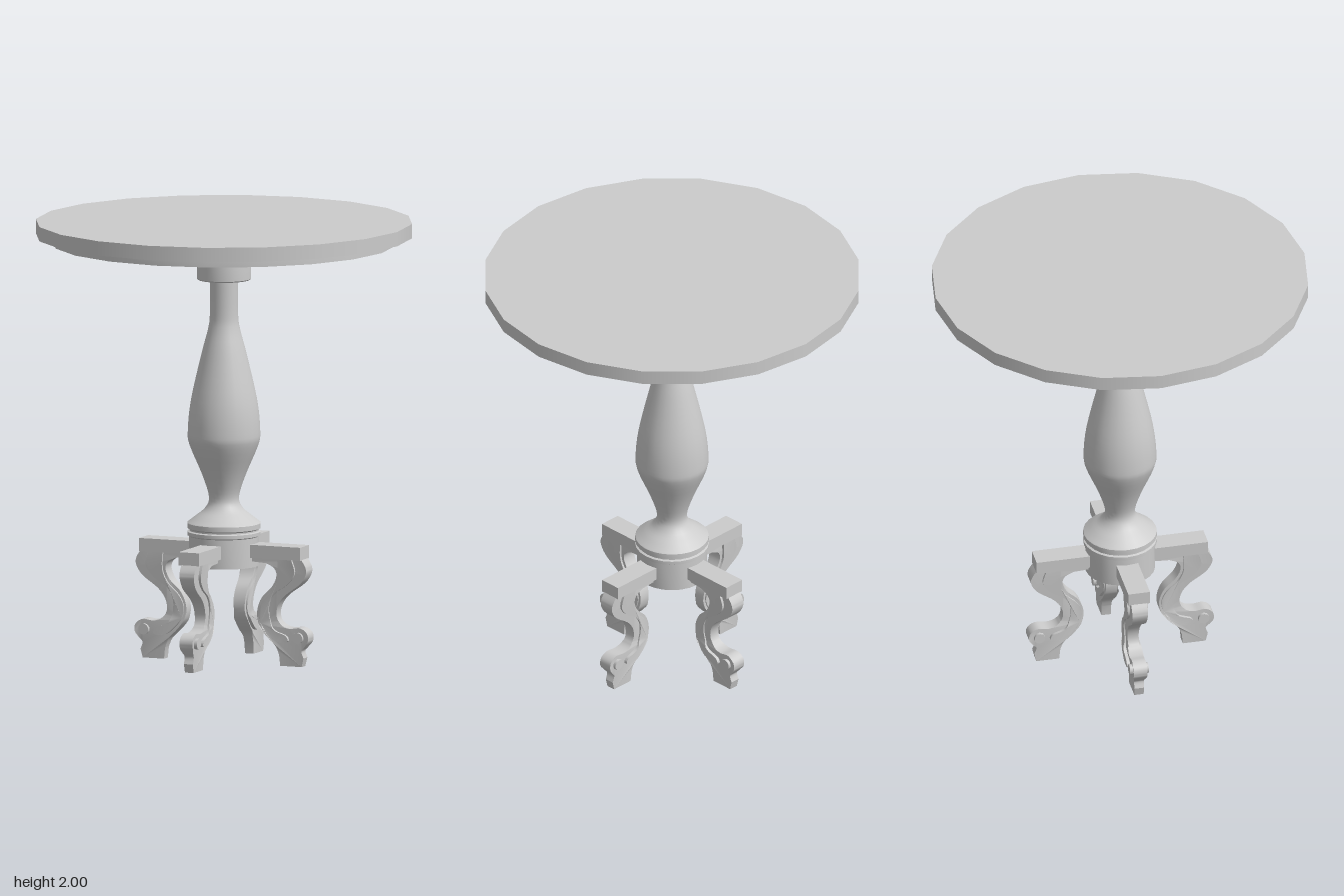
import * as THREE from 'three';
import { toCreasedNormals } from 'three/addons/utils/BufferGeometryUtils.js';

const material = new THREE.MeshStandardMaterial({ color: 0xcccccc });
const vectors = (list) => list.map(([x, y]) => new THREE.Vector2(x, y));

function addMesh(parent, name, geometry, x = 0, y = 0, z = 0) {
  const mesh = new THREE.Mesh(geometry, material);
  mesh.name = name;
  mesh.position.set(x, y, z);
  parent.add(mesh);
  return mesh;
}

const lathe = (list, sides) =>
  toCreasedNormals(new THREE.LatheGeometry(vectors(list), sides), 0.6);

// Half thickness of a leg at each height
const widths = [[0, 0.028], [0.08, 0.03], [0.11, 0.042], [0.17, 0.042], [0.2, 0.032],
  [0.32, 0.038], [0.46, 0.048], [0.6, 0.05]];
function halfWidth(y) {
  for (let i = 1; i < widths.length; i++) {
    const [y0, w0] = widths[i - 1], [y1, w1] = widths[i];
    if (y <= y1) return THREE.MathUtils.mapLinear(Math.max(y, y0), y0, y1, w0, w1);
  }
  return 0.05;
}

// Extrude a side outline and thin it towards the foot
function legSlab(shape, factor) {
  const geometry = new THREE.ExtrudeGeometry(shape, { depth: 2, bevelEnabled: false, curveSegments: 4 });
  geometry.translate(0, 0, -1);
  const p = geometry.attributes.position;
  for (let i = 0; i < p.count; i++) p.setZ(i, p.getZ(i) * halfWidth(p.getY(i)) * factor);
  return toCreasedNormals(geometry, 0.6);
}

function createLeg() {
  const leg = new THREE.Group();
  leg.name = 'leg';

  // S-shaped body with knee, scroll toe and foot
  const body = new THREE.Shape();
  body.moveTo(0.13, 0.545);
  body.lineTo(0.39, 0.545);
  body.lineTo(0.39, 0.495);
  body.splineThru(vectors([[0.415, 0.455], [0.415, 0.42], [0.385, 0.375], [0.31, 0.32],
    [0.275, 0.27], [0.27, 0.22], [0.295, 0.185], [0.335, 0.172], [0.385, 0.177],
    [0.42, 0.155], [0.425, 0.12], [0.405, 0.09], [0.39, 0.07], [0.4, 0.04]]));
  body.lineTo(0.39, 0);
  body.lineTo(0.285, 0);
  body.lineTo(0.28, 0.05);
  body.splineThru(vectors([[0.26, 0.095], [0.215, 0.14], [0.18, 0.19], [0.175, 0.25],
    [0.2, 0.31], [0.25, 0.36], [0.272, 0.41], [0.26, 0.445], [0.22, 0.465]]));
  body.lineTo(0.13, 0.47);
  addMesh(leg, 'legBody', legSlab(body, 0.76));

  // Raised band following the curve on both faces
  const band = new THREE.Shape();
  band.moveTo(0.28, 0.5);
  band.lineTo(0.345, 0.5);
  band.splineThru(vectors([[0.365, 0.43], [0.33, 0.375], [0.265, 0.33], [0.237, 0.28],
    [0.237, 0.22], [0.26, 0.165], [0.32, 0.14], [0.325, 0.112], [0.27, 0.115],
    [0.22, 0.155], [0.19, 0.2], [0.185, 0.25], [0.21, 0.3], [0.26, 0.35],
    [0.285, 0.41], [0.28, 0.5]]));
  addMesh(leg, 'legBand', legSlab(band, 1));

  // Block joining the leg to the hub
  addMesh(leg, 'legBlock', new THREE.BoxGeometry(0.27, 0.06, 0.1), 0.26, 0.516, 0);

  // Scroll button on the toe
  const button = new THREE.CylinderGeometry(0.025, 0.025, 0.086, 10);
  addMesh(leg, 'scrollButton', button.rotateX(Math.PI / 2), 0.378, 0.132, 0);
  return leg;
}

export function createModel() {
  const table = new THREE.Group();
  table.name = 'pedestalTable';

  // Twenty-sided top with a rim below it
  addMesh(table, 'tableTop', new THREE.CylinderGeometry(0.85, 0.85, 0.065, 20), 0, 1.9675, 0);
  addMesh(table, 'underRim', lathe([[0.71, 1.936], [0.71, 1.9], [0.775, 1.9], [0.775, 1.936]], 20));

  // Mounting plate and its two support bars
  addMesh(table, 'mountingPlate', new THREE.BoxGeometry(0.52, 0.024, 0.52), 0, 1.902, 0);
  for (const side of [-1, 1]) {
    addMesh(table, 'supportBar', new THREE.BoxGeometry(0.035, 0.034, 0.82), side * 0.2, 1.919, 0);
  }

  // Collar under the plate
  addMesh(table, 'collar', lathe([[0, 1.737], [0.118, 1.737], [0.123, 1.742],
    [0.123, 1.86], [0.118, 1.895]], 24));

  // Turned column
  const columnCurve = new THREE.SplineCurve(vectors([[0.165, 0.635], [0.13, 0.662], [0.085, 0.7],
    [0.068, 0.75], [0.098, 0.85], [0.155, 0.985], [0.164, 1.05], [0.15, 1.19], [0.102, 1.4],
    [0.073, 1.51], [0.064, 1.58], [0.064, 1.74]]));
  addMesh(table, 'column', lathe(columnCurve.getPoints(44).map((p) => [p.x, p.y]), 24));

  // Hub with grooved mouldings
  addMesh(table, 'hub', lathe([[0, 0.44], [0.158, 0.44], [0.158, 0.573], [0.166, 0.578],
    [0.166, 0.594], [0.156, 0.598], [0.156, 0.604], [0.166, 0.61], [0.166, 0.632],
    [0.16, 0.638], [0.1, 0.638]], 24));

  // Four legs
  for (let i = 0; i < 4; i++) {
    const leg = createLeg();
    leg.rotation.y = i * Math.PI / 2;
    table.add(leg);
  }
  return table;
}
